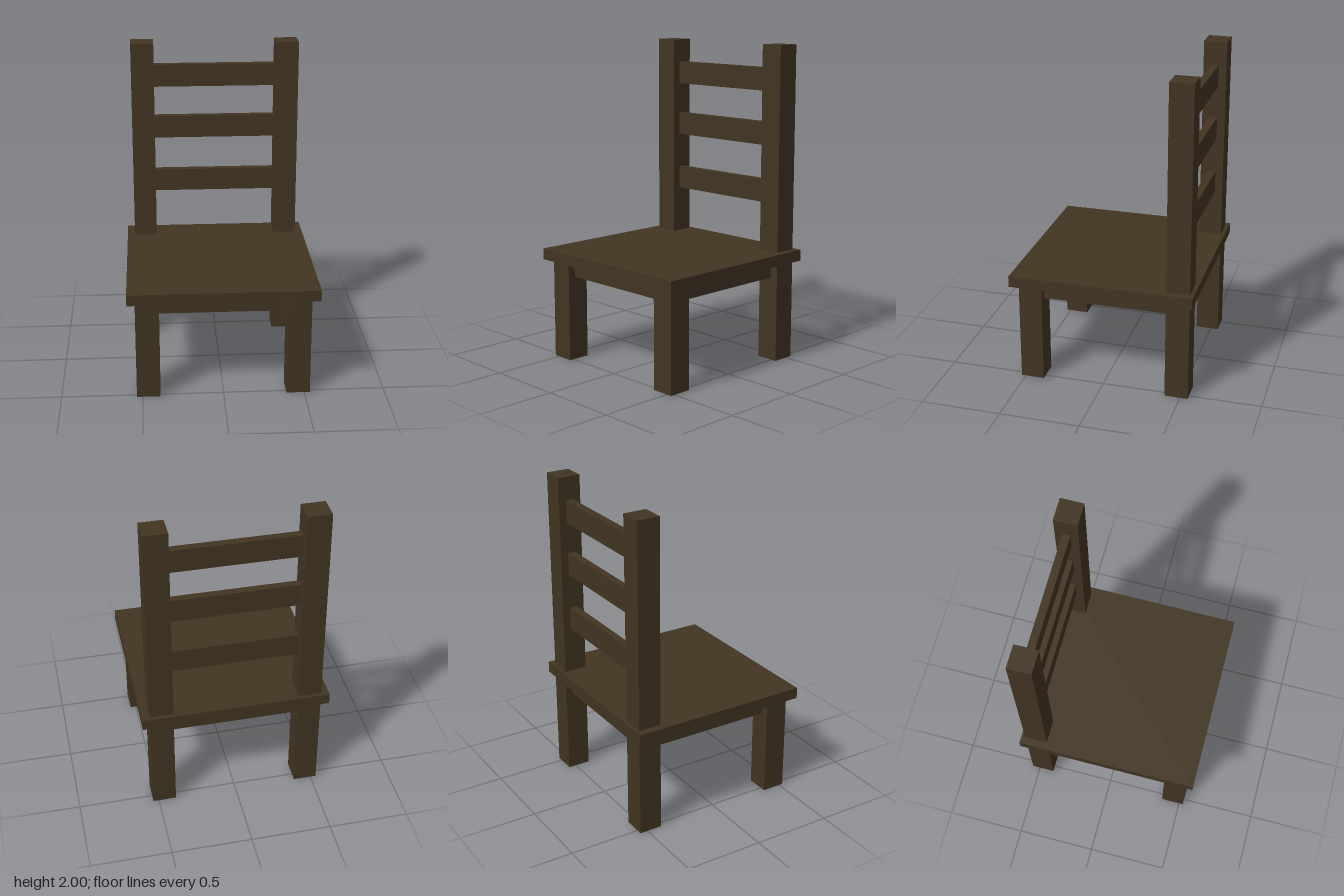
import * as THREE from 'three';

export function createModel() {
  const chair = new THREE.Group();
  chair.name = 'chair';
  const wood = new THREE.MeshStandardMaterial({ color: 0x423422 });
  wood.name = 'dark wood';

  // Box given by its lower and upper limits on each axis
  function beam(name, [x0, x1], [y0, y1], [z0, z1]) {
    const mesh = new THREE.Mesh(new THREE.BoxGeometry(x1 - x0, y1 - y0, z1 - z0), wood);
    mesh.position.set((x0 + x1) / 2, (y0 + y1) / 2, (z0 + z1) / 2);
    mesh.name = name;
    chair.add(mesh);
  }

  const inner = 0.39, outer = 0.536;   // leg limits in x
  const seatBottom = 0.638, seatTop = 0.708;
  const backZ = [-0.549, -0.403], frontZ = [0.38, 0.526];
  const apronY = [0.54, seatBottom];
  const span = [-inner, inner];
  const mid = (inner + outer) / 2, half = 0.024;

  beam('seat', [-0.584, 0.584], [seatBottom, seatTop], [-0.573, 0.573]);

  // Legs, back posts and side aprons, mirrored
  for (const [side, s] of [['left', 1], ['right', -1]]) {
    const legX = s > 0 ? [inner, outer] : [-outer, -inner];
    beam(side + 'FrontLeg', legX, [0, seatBottom], frontZ);
    beam(side + 'BackLeg', legX, [0, seatBottom], backZ);
    beam(side + 'BackPost', legX, [seatTop, 2], backZ);
    beam(side + 'Apron', [s * mid - half, s * mid + half], apronY, [backZ[1], frontZ[0]]);
  }

  // Front and back aprons under the seat
  for (const [name, [z0, z1]] of [['frontApron', frontZ], ['backApron', backZ]]) {
    const z = (z0 + z1) / 2;
    beam(name, span, apronY, [z - half, z + half]);
  }

  // Three slats between the back posts
  for (const y of [1.003, 1.368, 1.709]) {
    beam('backSlat', span, [y, y + 0.144], [-0.5, -0.452]);
  }
  return chair;
}
